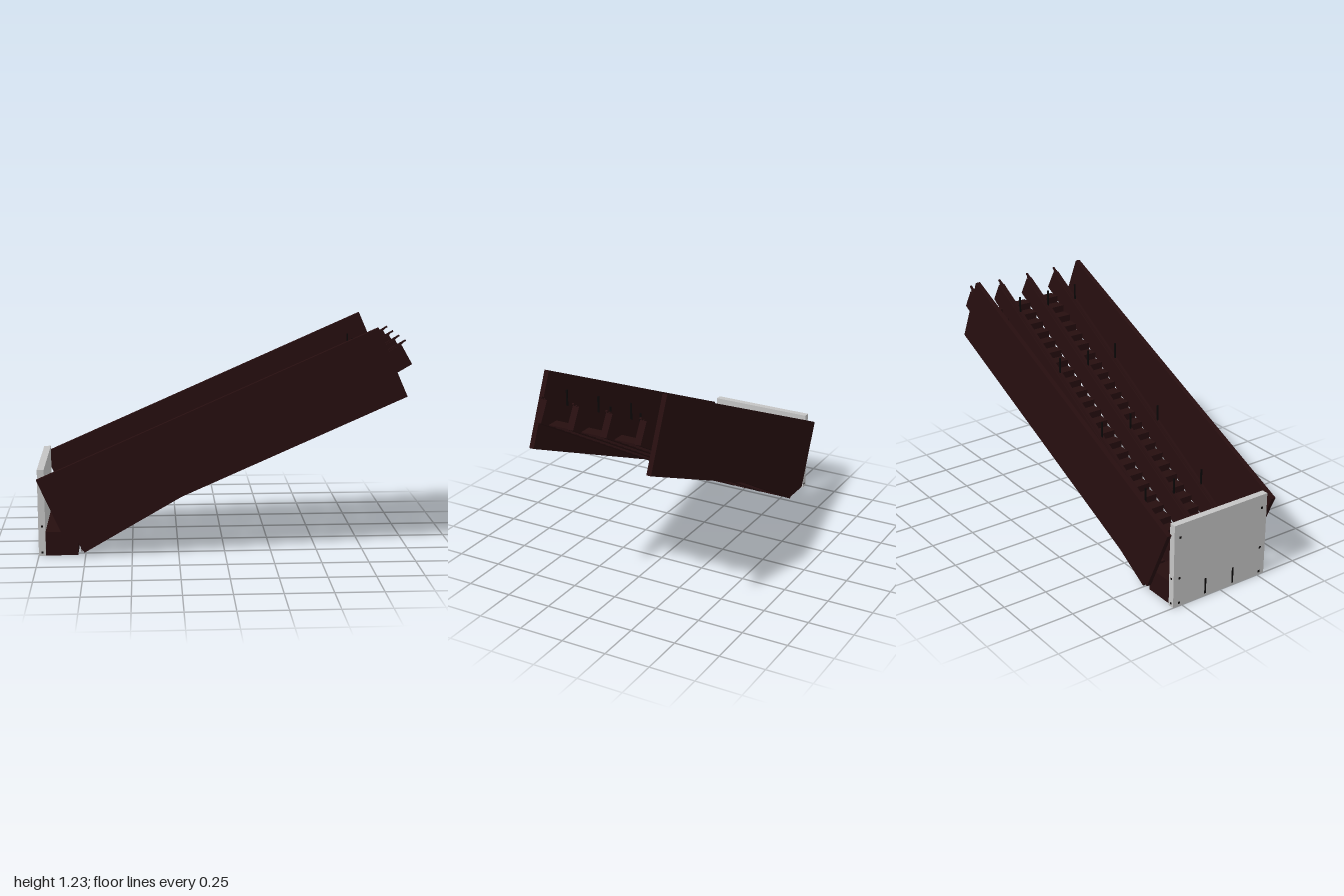
import * as THREE from 'three';

export function createModel() {
  const model = new THREE.Group();
  const brown = new THREE.MeshStandardMaterial({ color: 0x260e0f });
  brown.name = 'dark brown';
  const grey = new THREE.MeshStandardMaterial({ color: 0xc4c4c4 });
  grey.name = 'light grey';
  const black = new THREE.MeshStandardMaterial({ color: 0x0c0808 });
  black.name = 'black';

  function box(name, size, pos, mat = brown, parent = model) {
    const mesh = new THREE.Mesh(new THREE.BoxGeometry(...size), mat);
    mesh.name = name;
    mesh.position.set(...pos);
    parent.add(mesh);
    return mesh;
  }

  // Outer side panels, set a little flatter than the stair
  for (const side of [1, -1]) {
    const panel = box('sidePanel', [1.968, 0.4, 0.026], [-0.02, 0.645, 0.339 * side]);
    panel.rotation.z = Math.atan2(0.795, 1.8);
  }

  // Four sloping stringers, each with a thin top rail and upright pins
  for (const z of [0.27, 0.083, -0.107, -0.297]) {
    const stringer = new THREE.Group();
    stringer.name = 'stringer';
    stringer.position.set(0.0875, 0.57, z);
    stringer.rotation.z = Math.PI / 6;
    box('stringerBeam', [2.02, 0.121, 0.036], [0, 0, 0], brown, stringer);
    box('railBase', [2.02, 0.006, 0.02], [0.01, 0.063, 0], brown, stringer);
    box('topRail', [2.02, 0.008, 0.011], [0.033, 0.066, 0], brown, stringer);
    model.add(stringer);
    for (const x of [-0.49, -0.09, 0.32, 0.73]) {
      const top = 0.12 + 0.577 * (x + 0.82);
      box('pin', [0.008, 0.1, 0.008], [x, top + 0.045, z], black);
    }
  }

  // Three lanes of steps made of thin treads and risers
  const count = 26, run = 0.066, rise = 0.0382, sheet = 0.006, width = 0.13;
  for (const z of [0.176, -0.014, -0.204]) {
    const lane = new THREE.Group();
    lane.name = 'stepLane';
    for (let i = 0; i < count; i++) {
      const x = 0.94 - run * i, y = 1 - rise * i;
      box('tread', [run, sheet, width], [x - run / 2, y - sheet / 2, z], brown, lane);
      box('riser', [sheet, rise, width], [x - run + sheet / 2, y - rise / 2, z], brown, lane);
    }
    model.add(lane);
  }

  // Base block and upright end plate
  box('baseBlock', [0.172, 0.13, 0.59], [-0.876, 0.067, -0.003]);
  box('endPlate', [0.037, 0.475, 0.6], [-0.9815, 0.2375, -0.006], grey);

  // Slots and bolt holes on the outside of the end plate
  for (const z of [-0.1, 0.08]) box('slot', [0.004, 0.09, 0.01], [-1, 0.06, z], black);
  for (const z of [-0.27, 0.26]) {
    for (const y of [0.02, 0.165, 0.4]) box('boltHole', [0.004, 0.012, 0.012], [-1, y, z], black);
  }
  for (const side of [1, -1]) {
    for (const y of [0.02, 0.165]) box('sideHole', [0.01, 0.01, 0.004], [-0.98, y, -0.006 + 0.3 * side], black);
  }
  return model;
}
